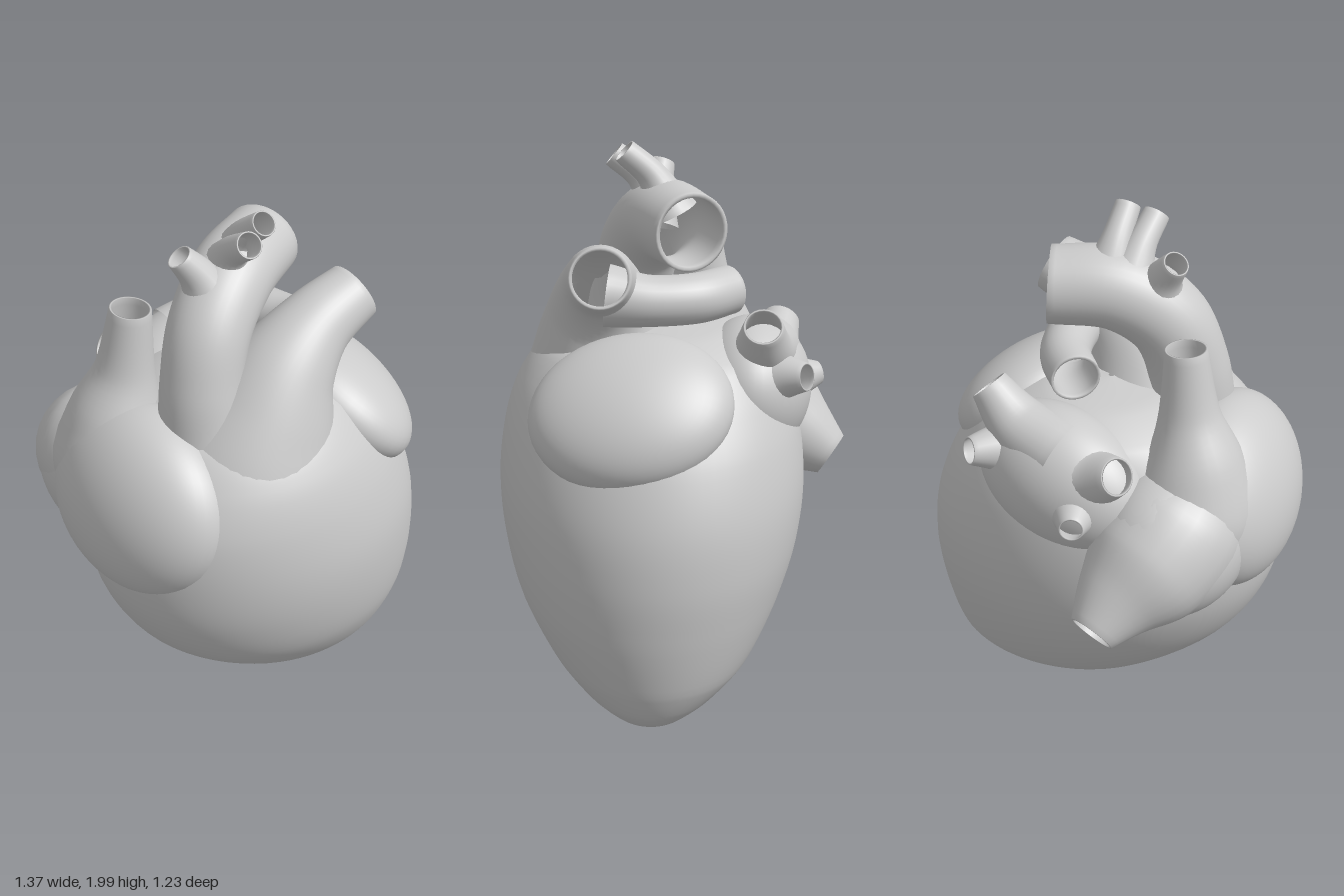
import * as THREE from 'three';

const material = new THREE.MeshStandardMaterial({ color: 0xcccccc, roughness: 0.7, side: THREE.DoubleSide });
const V = (a) => new THREE.Vector3(...a);
const spline = (pts) => new THREE.CatmullRomCurve3(pts.map(V));

// Skins a list of closed rings, each an array of the same number of Vector3
function skin(rings) {
  const n = rings[0].length, pos = [], index = [];
  rings.forEach((ring) => ring.forEach((p) => pos.push(p.x, p.y, p.z)));
  for (let i = 0; i < rings.length - 1; i++) {
    for (let j = 0; j < n; j++) {
      const k = (j + 1) % n;
      const a = i * n + j, b = a + n, c = (i + 1) * n + k, d = i * n + k;
      index.push(a, b, c, a, c, d);
    }
  }
  const g = new THREE.BufferGeometry();
  g.setAttribute('position', new THREE.Float32BufferAttribute(pos, 3));
  g.setIndex(index);
  g.computeVertexNormals();
  return g;
}

function addMesh(group, name, geometry) {
  const m = new THREE.Mesh(geometry, material);
  m.name = name;
  group.add(m);
  return m;
}

// Open vessel along points [x, y, z, radius], with a wall and hollow inside at its far end
function vessel(group, name, pts, steps = 28, sides = 28) {
  const path = spline(pts.map((p) => p.slice(0, 3)));
  const radii = spline(pts.map((p, i) => [p[3], i * 0.1, 0]));
  const frames = path.computeFrenetFrames(steps);
  const ring = (i, scale) => {
    const u = i / steps, c = path.getPointAt(u);
    const r = radii.getPoint(path.getUtoTmapping(u)).x * scale;
    return Array.from({ length: sides }, (_, j) => {
      const a = (j / sides) * Math.PI * 2;
      return c.clone()
        .addScaledVector(frames.normals[i], r * Math.cos(a))
        .addScaledVector(frames.binormals[i], -r * Math.sin(a));
    });
  };
  const rings = [];
  for (let i = 0; i <= steps; i++) rings.push(ring(i, 1));
  rings.push(ring(steps, 0.95), ring(steps, 0.88));
  for (let i = steps - 1; i > steps * 0.5; i--) rings.push(ring(i, 0.88));
  return addMesh(group, name, skin(rings));
}

// Smooth rounded chamber
function chamber(group, name, centre, radii, tilt) {
  const m = addMesh(group, name, new THREE.SphereGeometry(1, 48, 32));
  m.position.set(...centre);
  m.scale.set(...radii);
  m.rotation.set(...tilt);
  return m;
}

// Ventricles: rows of height, x range and z range
function ventricles() {
  const rows = [
    [0.0, 0.35, 0.37, 0.04, 0.02], [0.012, 0.22, 0.46, 0.12, -0.06], [0.045, 0.06, 0.545, 0.2, -0.12],
    [0.1, -0.08, 0.595, 0.29, -0.2], [0.2, -0.25, 0.635, 0.4, -0.3], [0.4, -0.47, 0.67, 0.53, -0.4],
    [0.6, -0.58, 0.68, 0.59, -0.46], [0.8, -0.61, 0.655, 0.61, -0.48], [1.0, -0.59, 0.58, 0.59, -0.46],
    [1.15, -0.51, 0.48, 0.54, -0.41], [1.27, -0.4, 0.36, 0.45, -0.34], [1.34, -0.22, 0.2, 0.28, -0.2],
    [1.36, -0.02, 0.0, 0.03, 0.01],
  ];
  const centres = spline(rows.map(([y, x0, x1, z0, z1]) => [(x0 + x1) / 2, y, (z0 + z1) / 2]));
  const sizes = spline(rows.map(([y, x0, x1, z0, z1]) => [(x1 - x0) / 2, y, (z0 - z1) / 2]));
  const steps = 72, sides = 72, rings = [];
  for (let i = 0; i <= steps; i++) {
    const c = centres.getPoint(i / steps), s = sizes.getPoint(i / steps);
    rings.push(Array.from({ length: sides }, (_, j) => {
      const a = (j / sides) * Math.PI * 2;
      return new THREE.Vector3(c.x + s.x * Math.cos(a), Math.max(0, c.y),
        c.z + s.z * (Math.sin(a) - 0.09 * Math.cos(a)));
    }));
  }
  return skin(rings);
}

export function createModel() {
  const heart = new THREE.Group();
  heart.name = 'heart';

  addMesh(heart, 'ventricles', ventricles());

  // Atria and the ear-shaped left auricle
  chamber(heart, 'rightAtrium', [-0.45, 1.0, 0.12], [0.225, 0.335, 0.38], [0, 0.2, -0.25]);
  chamber(heart, 'rightAtriumBack', [-0.4, 0.95, -0.17], [0.25, 0.28, 0.31], [0, 0, -0.15]);
  chamber(heart, 'leftAtrium', [-0.02, 1.12, -0.29], [0.33, 0.25, 0.21], [0, 0, 0.25]);
  chamber(heart, 'leftAuricle', [0.36, 1.14, 0.1], [0.295, 0.17, 0.355], [0.15, 0, -0.72]);

  // Upper and lower great veins, both swelling into the right atrium
  vessel(heart, 'upperVein', [
    [-0.4, 0.85, -0.15, 0.2], [-0.42, 1.05, -0.1, 0.23], [-0.42, 1.22, -0.09, 0.175],
    [-0.39, 1.4, -0.08, 0.105], [-0.365, 1.64, -0.07, 0.072]]);
  vessel(heart, 'lowerVein', [
    [-0.42, 1.1, -0.06, 0.18], [-0.41, 1.0, -0.18, 0.24], [-0.38, 0.9, -0.33, 0.225],
    [-0.345, 0.82, -0.46, 0.15], [-0.325, 0.75, -0.57, 0.085]]);

  // Pulmonary trunk rising from the front, with a branch passing back beneath the arch
  vessel(heart, 'pulmonaryTrunk', [
    [-0.08, 0.95, 0.18, 0.39], [-0.07, 1.12, 0.215, 0.335], [-0.02, 1.28, 0.235, 0.25],
    [0.06, 1.43, 0.235, 0.18], [0.185, 1.54, 0.22, 0.13], [0.355, 1.605, 0.2, 0.105]], 40, 40);
  vessel(heart, 'pulmonaryBranch', [
    [0.17, 1.49, 0.2, 0.11], [0.165, 1.475, 0.06, 0.09], [0.1, 1.47, -0.1, 0.088], [-0.015, 1.47, -0.205, 0.086]]);

  // Aorta and the three arteries on its arch
  vessel(heart, 'aorta', [
    [-0.2, 1.05, 0.2, 0.22], [-0.235, 1.25, 0.18, 0.16], [-0.23, 1.42, 0.16, 0.143],
    [-0.17, 1.6, 0.115, 0.143], [-0.03, 1.71, 0.03, 0.144], [0.17, 1.72, -0.09, 0.135]], 40, 36);
  vessel(heart, 'archArteryRight', [
    [-0.14, 1.67, 0.09, 0.11], [-0.185, 1.78, 0.07, 0.066], [-0.245, 1.865, 0.05, 0.045]], 16, 20);
  vessel(heart, 'archArteryMiddle', [
    [-0.06, 1.73, 0.03, 0.11], [-0.07, 1.85, 0.1, 0.056], [-0.07, 1.93, 0.2, 0.046]], 16, 20);
  vessel(heart, 'archArteryLeft', [
    [0.0, 1.74, 0.0, 0.1], [0.0, 1.87, 0.06, 0.054], [0.015, 1.96, 0.155, 0.044]], 16, 20);

  // Pulmonary veins: the upper pair forms a ridge along the top of the left atrium
  const veins = {
    leftUpperVein: [[-0.04, 1.24, -0.33, 0.13], [0.13, 1.3, -0.335, 0.105], [0.25, 1.42, -0.34, 0.068]],
    leftLowerVein: [[0.12, 1.17, -0.3, 0.15], [0.18, 1.22, -0.4, 0.085], [0.23, 1.24, -0.49, 0.048]],
    rightUpperVein: [[0.02, 1.22, -0.33, 0.13], [-0.17, 1.21, -0.345, 0.105], [-0.3, 1.28, -0.38, 0.066]],
    rightLowerVein: [[-0.08, 1.08, -0.32, 0.16], [-0.16, 1.1, -0.43, 0.085], [-0.21, 1.11, -0.52, 0.042]],
  };
  for (const [name, pts] of Object.entries(veins)) vessel(heart, name, pts, 16, 24);

  return heart;
}
